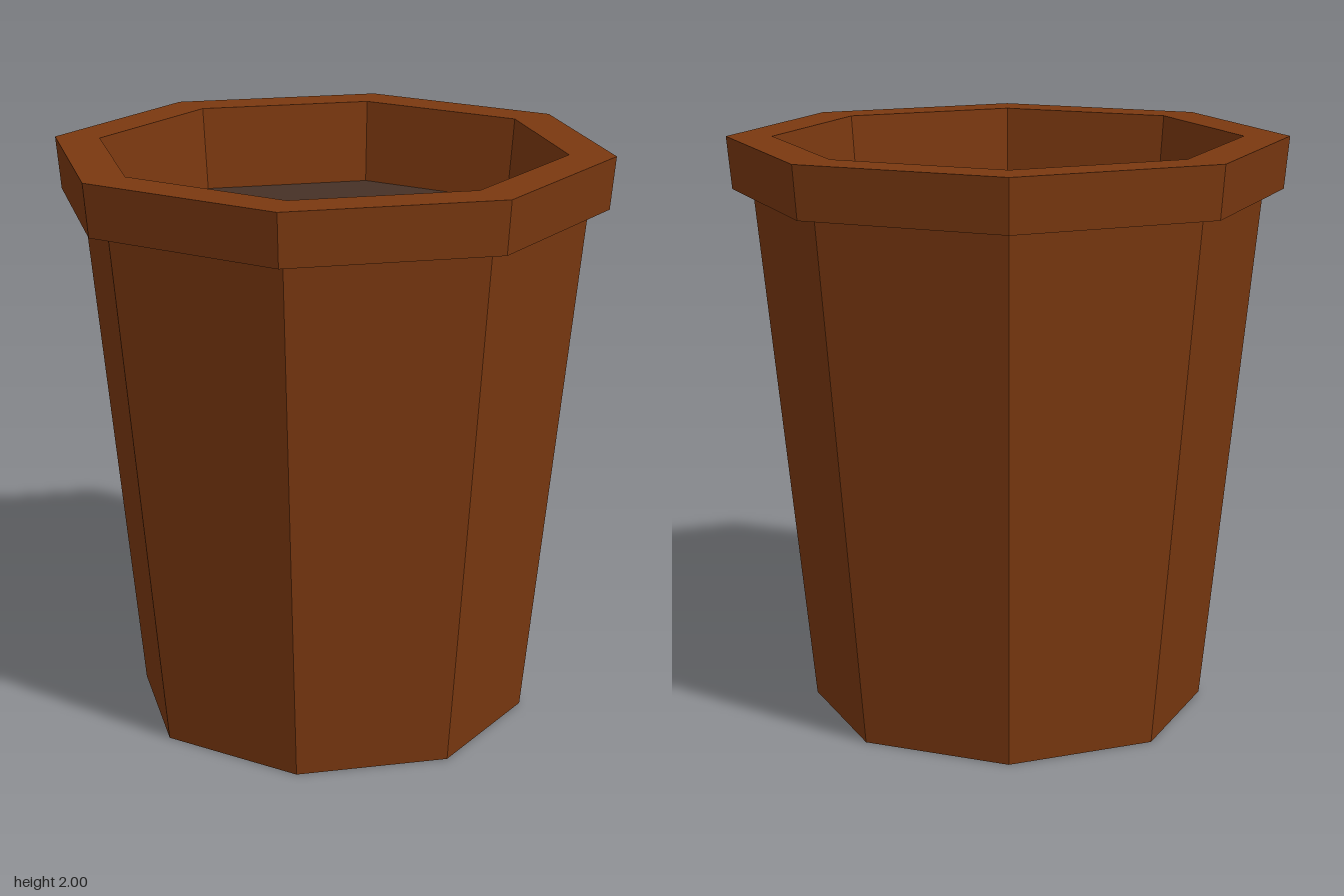
import * as THREE from 'three';

const SIDES = 8;

export function createModel() {
  const terracotta = new THREE.MeshStandardMaterial({ color: 0x7a3810, flatShading: true });
  terracotta.name = 'brown clay';
  const earth = new THREE.MeshStandardMaterial({ color: 0x463126, flatShading: true });
  earth.name = 'dark soil';

  const model = new THREE.Group();
  model.name = 'flowerPot';

  // Eight-sided solid of revolution, corners on the x and z axes
  const addLathe = (name, material, profile) => {
    const points = profile.map(([r, y]) => new THREE.Vector2(r, y));
    const mesh = new THREE.Mesh(new THREE.LatheGeometry(points, SIDES), material);
    mesh.name = name;
    model.add(mesh);
  };

  // Tapered body with closed base
  addLathe('body', terracotta, [[0, 0], [0.685, 0], [0.87, 1.82]]);

  // Overhanging rim: underside, outer band, top lip, inner wall
  addLathe('rim', terracotta, [[0.87, 1.82], [0.94, 1.82], [0.957, 2], [0.8, 2], [0.772, 1.71]]);

  // Soil surface inside the pot
  addLathe('soil', earth, [[0.772, 1.71], [0, 1.71]]);

  return model;
}
